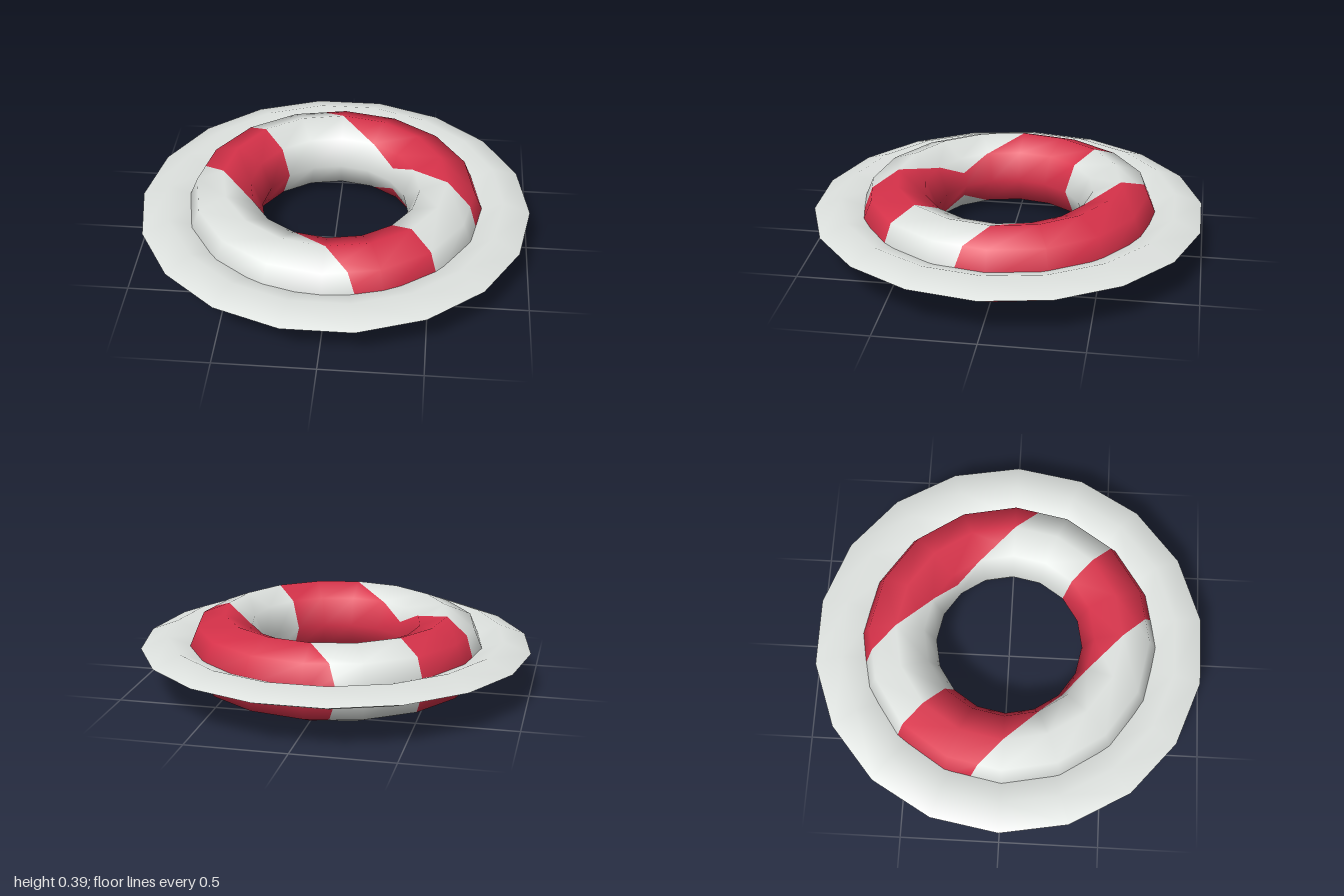
import * as THREE from 'three';

const white = new THREE.MeshStandardMaterial({ color: 0xdfe3e0 });
white.name = 'white';
const red = new THREE.MeshStandardMaterial({ color: 0xd8324a });
red.name = 'red';

const RING_Y = 0.197;
const STRIPE = 0.57;

// Position along the diagonal across which the stripes run
const diagonal = (v) => v.p.x - v.p.z;

// Keep the part of a polygon where sign * (diagonal - limit) >= 0
function clip(poly, limit, sign) {
  const out = [];
  poly.forEach((a, i) => {
    const b = poly[(i + 1) % poly.length];
    const da = sign * (diagonal(a) - limit);
    const db = sign * (diagonal(b) - limit);
    if (da >= 0) out.push(a);
    if (da * db < 0) {
      const t = da / (da - db);
      out.push({ p: a.p.clone().lerp(b.p, t), n: a.n.clone().lerp(b.n, t).normalize() });
    }
  });
  return out;
}

// The slice of a geometry lying between two diagonal planes
function slice(source, low, high) {
  const { position, normal } = source.attributes;
  const points = [];
  const normals = [];
  for (let i = 0; i < position.count; i += 3) {
    let poly = [0, 1, 2].map((k) => ({
      p: new THREE.Vector3().fromBufferAttribute(position, i + k),
      n: new THREE.Vector3().fromBufferAttribute(normal, i + k),
    }));
    poly = clip(clip(poly, low, 1), high, -1);
    for (let k = 1; k + 1 < poly.length; k++) {
      for (const v of [poly[0], poly[k], poly[k + 1]]) {
        points.push(...v.p.toArray());
        normals.push(...v.n.toArray());
      }
    }
  }
  const geometry = new THREE.BufferGeometry();
  geometry.setAttribute('position', new THREE.Float32BufferAttribute(points, 3));
  geometry.setAttribute('normal', new THREE.Float32BufferAttribute(normals, 3));
  return geometry;
}

function lathe(name, profile) {
  const points = profile.map(([r, y]) => new THREE.Vector2(r, y));
  const mesh = new THREE.Mesh(new THREE.LatheGeometry(points, 18, Math.PI / 2), white);
  mesh.name = name;
  return mesh;
}

export function createModel() {
  const model = new THREE.Group();
  model.name = 'swimRing';

  // Inflated tube, cut into alternating diagonal stripes
  const tube = new THREE.Group();
  tube.name = 'tube';
  const torus = new THREE.TorusGeometry(0.573, 0.197, 8, 16)
    .rotateX(Math.PI / 2)
    .translate(0, RING_Y, 0)
    .toNonIndexed();
  const cuts = [-2, -STRIPE, 0, STRIPE, 2];
  for (let i = 0; i < 4; i++) {
    const mesh = new THREE.Mesh(slice(torus, cuts[i], cuts[i + 1]), i % 2 ? red : white);
    mesh.name = i % 2 ? 'redStripe' : 'whiteStripe';
    tube.add(mesh);
  }
  model.add(tube);

  // Thin outer flange with a sharp rim
  const flange = new THREE.Group();
  flange.name = 'flange';
  flange.add(
    lathe('flangeTop', [[1, 0.225], [0.86, 0.28], [0.72, 0.225]]),
    lathe('flangeUnderside', [[0.72, 0.225], [0.86, 0.17], [1, 0.225]]),
  );
  model.add(flange);

  return model;
}
